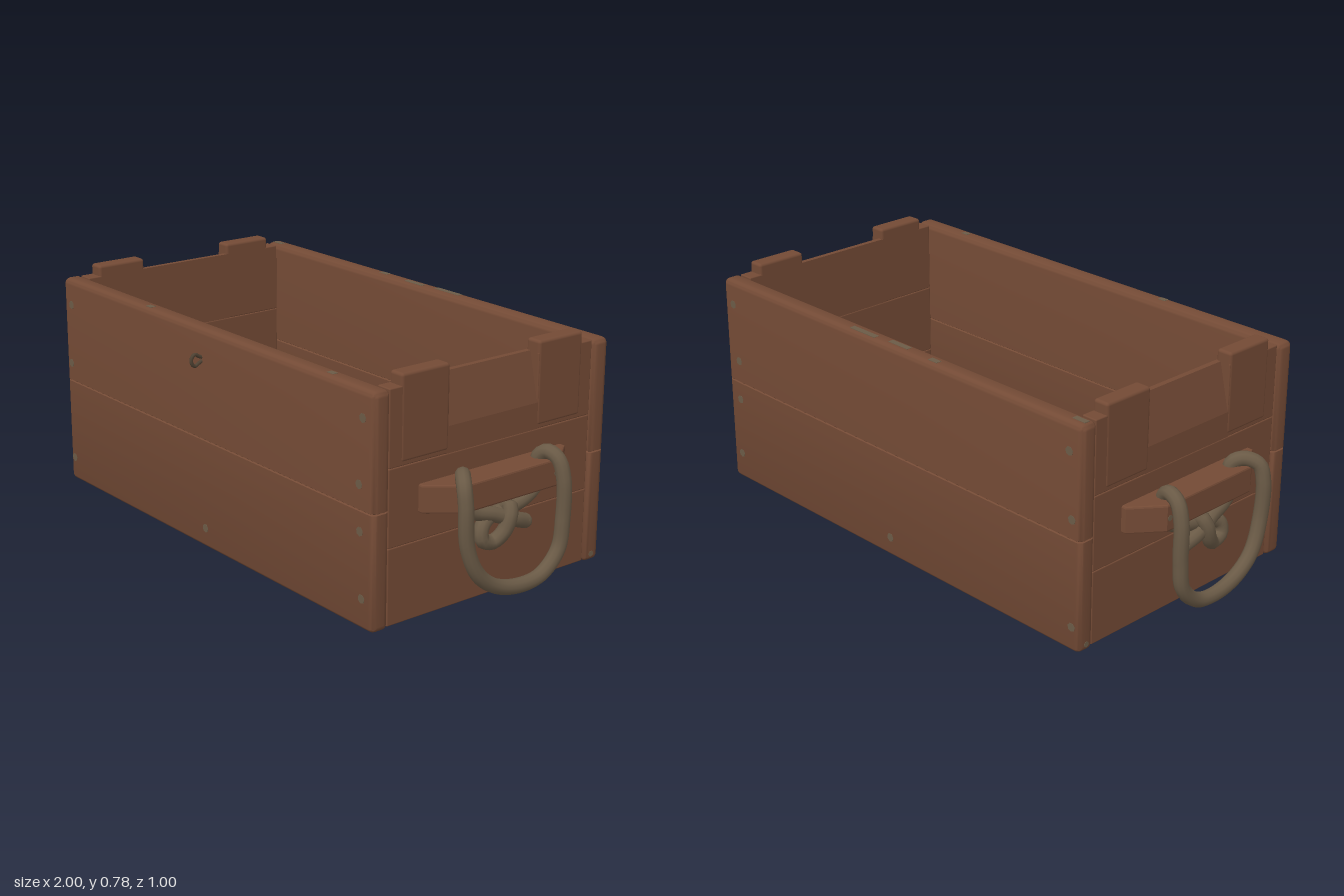
import * as THREE from 'three';
import { toCreasedNormals } from 'three/addons/utils/BufferGeometryUtils.js';
import { RoundedBoxGeometry } from 'three/addons/geometries/RoundedBoxGeometry.js';

const wood = new THREE.MeshStandardMaterial({ color: 0x734a35 });
wood.name = 'brown wood';
const rope = new THREE.MeshStandardMaterial({ color: 0x6a5a46 });
rope.name = 'rope';
const worn = new THREE.MeshStandardMaterial({ color: 0x6b5b47 });
worn.name = 'worn patches';
const metal = new THREE.MeshStandardMaterial({ color: 0x4f4233 });
metal.name = 'dark metal';

export function createModel() {
  const crate = new THREE.Group();
  crate.name = 'crate';

  const add = (name, geometry, material, parent = crate) => {
    const mesh = new THREE.Mesh(geometry, material);
    mesh.name = name;
    parent.add(mesh);
    return mesh;
  };

  // Rounded box given by its limits
  const block = (name, x0, x1, y0, y1, z0, z1, r, parent) => {
    const g = new RoundedBoxGeometry(Math.abs(x1 - x0), y1 - y0, z1 - z0, 3, r);
    return add(name, g.translate((x0 + x1) / 2, (y0 + y1) / 2, (z0 + z1) / 2), wood, parent);
  };

  // Long plank: rounded outer edges, with the rounding squeezed to a narrow groove at the seam
  const longPlank = (name, y0, y1, z0, z1, seamOnTop) => {
    const r = 0.02, h = y1 - y0;
    const g = new RoundedBoxGeometry(1.7, h, z1 - z0, 3, r);
    const p = g.attributes.position, dir = seamOnTop ? 1 : -1;
    for (let i = 0; i < p.count; i++) {
      const d = h / 2 - dir * p.getY(i);
      if (d < r + 1e-5) p.setY(i, dir * (h / 2 - d * 0.15));
    }
    g.translate(0, (y0 + y1) / 2, (z0 + z1) / 2);
    add(name, toCreasedNormals(g, 0.7), wood);
  };
  for (const [side, z0, z1] of [['front', 0.39, 0.455], ['back', -0.495, -0.43]]) {
    longPlank(side + 'LowerPlank', 0, 0.375, z0, z1, true);
    longPlank(side + 'UpperPlank', 0.375, 0.745, z0, z1, false);
  }

  // Floor
  add('floor', new THREE.BoxGeometry(1.6, 0.045, 0.84).translate(0, 0.04, -0.02), wood);

  for (const s of [1, -1]) {
    const end = new THREE.Group();
    end.name = s > 0 ? 'leftEnd' : 'rightEnd';
    crate.add(end);
    const xi = s * 0.785, xo = s * 0.84;

    // End planks; the top one is cut away in the middle
    block('endLowerPlank', xi, xo, 0.005, 0.252, -0.429, 0.389, 0.004, end);
    block('endMiddlePlank', xi, xo, 0.252, 0.5, -0.429, 0.389, 0.004, end);
    block('endUpperPlankFront', xi, xo, 0.5, 0.743, 0.16, 0.389, 0.004, end);
    block('endUpperPlankBack', xi, xo, 0.5, 0.743, -0.429, -0.2, 0.004, end);
    block('frontLidBlock', xi, s * 0.842, 0.51, 0.78, 0.16, 0.345, 0.01, end);
    block('backLidBlock', xi, s * 0.842, 0.51, 0.78, -0.385, -0.2, 0.01, end);

    // Sloping hand recess between the lid blocks
    const slope = new THREE.Shape([[0.785, 0.5], [0.84, 0.5], [0.84, 0.585], [0.803, 0.743], [0.785, 0.743]]
      .map(([x, y]) => new THREE.Vector2(s * x, y)));
    add('handRecess', new THREE.ExtrudeGeometry(slope, { depth: 0.38, bevelEnabled: false })
      .translate(0, 0, -0.21), wood, end);

    // Cleat with slanted ends
    const outline = new THREE.Shape([[0.83, -0.305], [0.855, -0.305], [0.928, -0.21], [0.928, 0.17], [0.855, 0.268], [0.83, 0.268]]
      .map(([x, z]) => new THREE.Vector2(s * x, z)));
    const cleat = new THREE.ExtrudeGeometry(outline, {
      depth: 0.078, bevelThickness: 0.006, bevelSize: 0.006, bevelSegments: 2,
    });
    cleat.rotateX(Math.PI / 2).translate(0, 0.424, 0);
    add('cleat', cleat, wood, end);

    // Rope handle: tail, strand up through the cleat, hanging loop, back down and round the knot
    const path = [
      [0.905, 0.245, -0.1], [0.912, 0.268, -0.04], [0.9, 0.295, 0.03], [0.888, 0.315, 0.1],
      [0.882, 0.34, 0.135], [0.88, 0.39, 0.135], [0.882, 0.435, 0.138], [0.91, 0.452, 0.165],
      [0.948, 0.435, 0.193], [0.964, 0.38, 0.199], [0.965, 0.25, 0.19], [0.97, 0.155, 0.15],
      [0.972, 0.1, 0.08], [0.975, 0.077, -0.02], [0.975, 0.09, -0.11], [0.975, 0.155, -0.178],
      [0.975, 0.25, -0.193], [0.972, 0.38, -0.193], [0.95, 0.438, -0.188], [0.91, 0.453, -0.18],
      [0.882, 0.43, -0.172], [0.88, 0.38, -0.17], [0.884, 0.34, -0.16], [0.89, 0.313, -0.11],
      [0.89, 0.295, -0.04], [0.888, 0.285, 0.03], [0.9, 0.26, 0.075], [0.905, 0.225, 0.075],
      [0.908, 0.21, 0.035], [0.922, 0.24, 0.002], [0.926, 0.29, -0.018], [0.91, 0.317, -0.028],
      [0.885, 0.295, -0.025],
    ].map(([x, y, z]) => new THREE.Vector3(s * x, y, z));
    const curve = new THREE.CatmullRomCurve3(path);
    add('ropeHandle', new THREE.TubeGeometry(curve, 160, 0.024, 10), rope, end);
    for (const p of [path[0], path[path.length - 1]]) {
      add('ropeEnd', new THREE.SphereGeometry(0.024, 10, 8).translate(p.x, p.y, p.z), rope, end);
    }

    // Worn spots on the end
    for (const [x, y, z] of [[0.934, 0.385, -0.2], [0.85, 0.025, -0.46]]) {
      const spot = new THREE.CylinderGeometry(0.01, 0.01, 0.002, 7).rotateZ(Math.PI / 2);
      add('endSpot', spot.translate(s * x, y, z), worn, end);
    }
  }

  // Wire eye on the front
  const eye = new THREE.CatmullRomCurve3([
    [0.45, 0.65], [0.464, 0.656], [0.48, 0.664], [0.492, 0.654], [0.492, 0.636],
    [0.48, 0.626], [0.464, 0.634], [0.45, 0.64],
  ].map(([z, y]) => new THREE.Vector3(-0.005, y, z)));
  add('wireEye', new THREE.TubeGeometry(eye, 32, 0.006, 8), metal);

  // Nail patches on the front and back faces
  const patches = [[-0.8, 0.655], [-0.815, 0.44], [-0.82, 0.085], [0, 0.07],
    [0.8, 0.66], [0.785, 0.455], [0.8, 0.1], [0.79, 0.31]];
  for (const [x, y] of patches) {
    for (const z of [0.455, -0.495]) {
      const g = new THREE.CylinderGeometry(0.015, 0.015, 0.002, 7).rotateX(Math.PI / 2);
      add('nailPatch', g.translate(x, y, z), worn);
    }
  }

  // Scuffs along the rims
  for (const [x, z, w] of [[-0.2, -0.468, 0.04], [-0.03, -0.46, 0.09], [0.13, -0.47, 0.12], [-0.81, -0.46, 0.05], [0.62, 0.422, 0.03], [-0.33, 0.43, 0.03]]) {
    add('rimScuff', new THREE.BoxGeometry(w, 0.002, 0.02).translate(x, 0.745, z), worn);
  }

  return crate;
}
